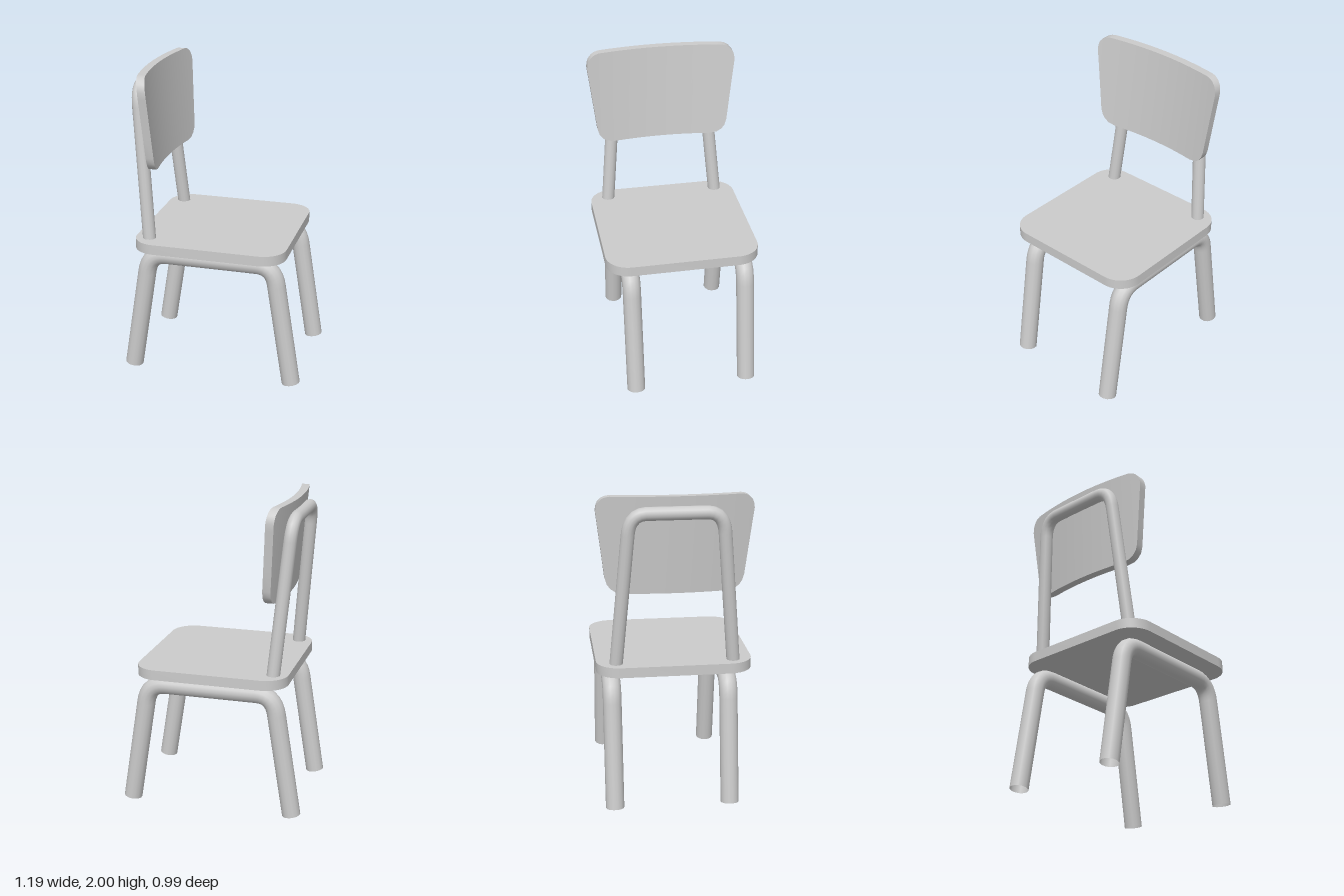
import * as THREE from 'three';
import { toCreasedNormals } from 'three/addons/utils/BufferGeometryUtils.js';

const material = new THREE.MeshStandardMaterial({ color: 0xcccccc, side: THREE.DoubleSide });
const V = (x, y, z) => new THREE.Vector3(x, y, z);

function addMesh(group, name, geometry) {
  const mesh = new THREE.Mesh(geometry, material);
  mesh.name = name;
  group.add(mesh);
  return mesh;
}

// Open-ended tube along an arch: foot, bend start, bend corner, bend end, then mirrored
function archTube([foot, start, corner, end], mirror, radius) {
  const [foot2, start2, corner2, end2] = [foot, start, corner, end].map(mirror);
  const path = new THREE.CurvePath();
  path.add(new THREE.LineCurve3(foot, start));
  path.add(new THREE.QuadraticBezierCurve3(start, corner, end));
  path.add(new THREE.LineCurve3(end, end2));
  path.add(new THREE.QuadraticBezierCurve3(end2, corner2, start2));
  path.add(new THREE.LineCurve3(start2, foot2));
  return new THREE.TubeGeometry(path, 80, radius, 14, false);
}

// Seat: rounded square slab
function seatGeometry() {
  const h = 0.493, r = 0.15, c = h - r;
  const shape = new THREE.Shape();
  shape.absarc(c, c, r, 0, Math.PI / 2);
  shape.absarc(-c, c, r, Math.PI / 2, Math.PI);
  shape.absarc(-c, -c, r, Math.PI, Math.PI * 1.5);
  shape.absarc(c, -c, r, Math.PI * 1.5, Math.PI * 2);
  const slab = new THREE.ExtrudeGeometry(shape, { depth: 0.065, bevelEnabled: false, curveSegments: 6 });
  slab.rotateX(-Math.PI / 2);
  return toCreasedNormals(slab, 0.6);
}

// Backrest: curved, leaning panel lofted across z from four-cornered sections
function backrestGeometry() {
  // half outline: z, bottom y, top y
  const half = [
    [0, 1.387, 2], [0.08, 1.387, 2], [0.16, 1.387, 2], [0.24, 1.387, 2], [0.32, 1.387, 2],
    [0.37, 1.397, 2], [0.40, 1.418, 2], [0.42, 1.445, 1.996], [0.432, 1.485, 1.992],
    [0.45, 1.635, 1.982], [0.47, 1.8, 1.96], [0.479, 1.87, 1.935], [0.483, 1.905, 1.91],
  ];
  const outline = [...half.slice(1).reverse().map(([z, b, t]) => [-z, b, t]), ...half];
  const thickness = 0.052;
  const positions = [], index = [];
  for (const [z, bottom, top] of outline) {
    const front = (y) => -0.43 + 0.09 * (2 - y) + 0.24 * z * z;
    positions.push(
      front(bottom), bottom, z,
      front(top), top, z,
      front(top) - thickness, top, z,
      front(bottom) - thickness, bottom, z,
    );
  }
  for (let i = 0; i < outline.length - 1; i++) {
    for (let j = 0; j < 4; j++) {
      const a = i * 4 + j, b = i * 4 + (j + 1) % 4;
      index.push(a, b, a + 4, b, b + 4, a + 4);
    }
  }
  const last = (outline.length - 1) * 4;
  index.push(0, 2, 1, 0, 3, 2, last, last + 1, last + 2, last, last + 2, last + 3);
  const geometry = new THREE.BufferGeometry();
  geometry.setAttribute('position', new THREE.Float32BufferAttribute(positions, 3));
  geometry.setIndex(index);
  return toCreasedNormals(geometry, 0.7);
}

export function createModel() {
  const chair = new THREE.Group();
  chair.name = 'chair';

  addMesh(chair, 'seat', seatGeometry()).position.y = 0.87;

  // Leg arches, one under each side of the seat
  const legs = archTube(
    [V(-0.537, 0.01, 0), V(-0.43, 0.69, 0), V(-0.41, 0.812, 0), V(-0.3, 0.812, 0)],
    (p) => V(-p.x, p.y, p.z), 0.059);
  addMesh(chair, 'leftLegArch', legs).position.z = 0.34;
  addMesh(chair, 'rightLegArch', legs).position.z = -0.4;

  // Leaning support hoop behind the backrest
  const lean = (y, z) => V(-0.4 - 0.09 * (y - 0.93), y, z);
  addMesh(chair, 'backSupport', archTube(
    [lean(0.9, 0.373), lean(1.77, 0.296), lean(1.9, 0.285), lean(1.9, 0.18)],
    (p) => V(p.x, p.y, -p.z), 0.042));

  addMesh(chair, 'backrest', backrestGeometry());
  return chair;
}
